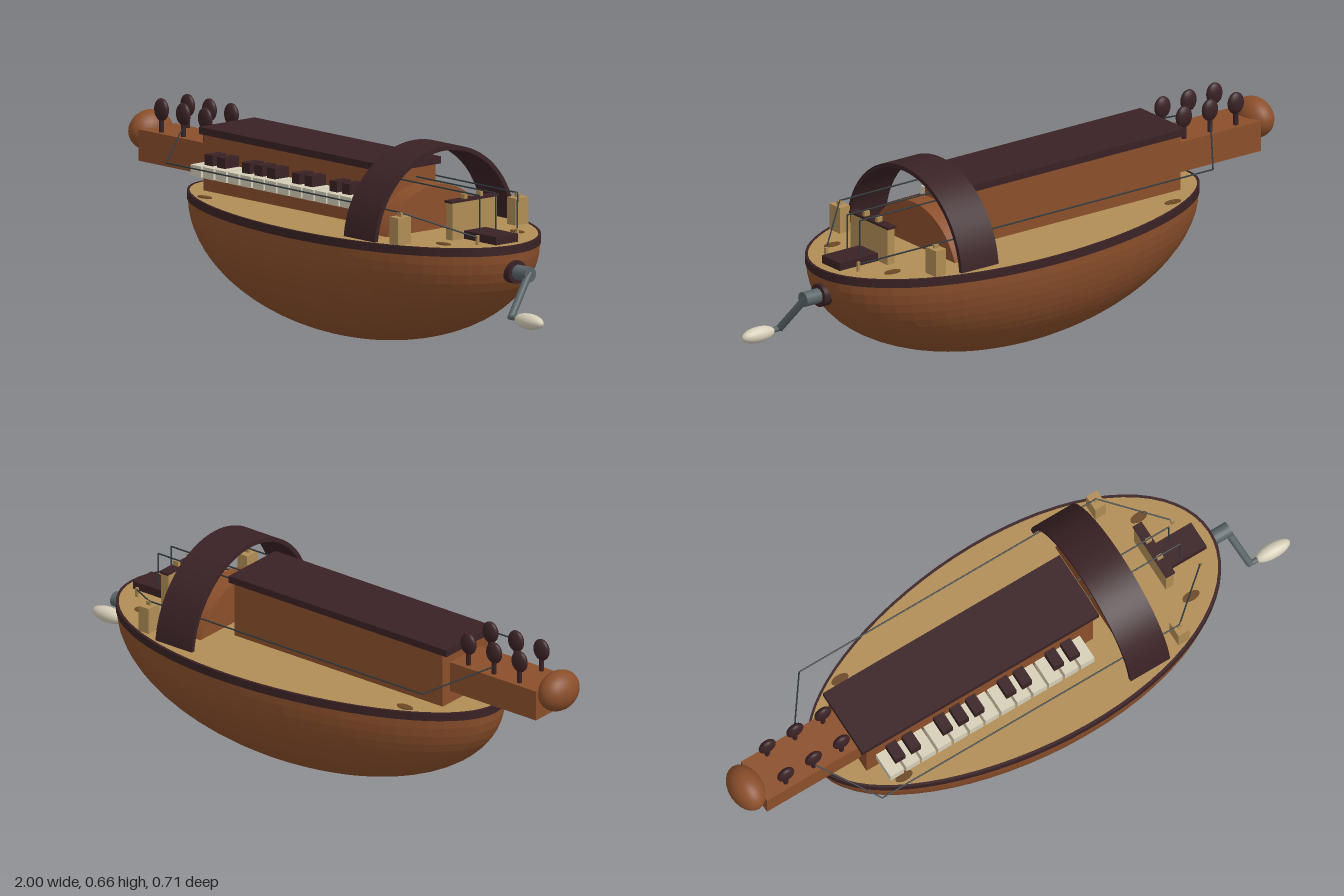
import * as THREE from 'three';

const mat = (name, color, extra = {}) => {
  const m = new THREE.MeshStandardMaterial({ color, ...extra });
  m.name = name;
  return m;
};

export function createModel() {
  const root = new THREE.Group();
  root.name = 'crankedStringInstrument';
  const wood = mat('brown wood', 0x8b4f2b);
  const bowlWood = mat('bowl wood', 0x8b4f2b, { flatShading: true });
  const dark = mat('dark wood', 0x3a2225);
  const tan = mat('spruce', 0xb08d55);
  const hole = mat('sound hole', 0x6b4826);
  const ivory = mat('ivory', 0xd6cfb9);
  const steel = mat('steel', 0x596468);
  const gut = mat('string', 0x303a40);

  const add = (name, geo, material, x = 0, y = 0, z = 0) => {
    const m = new THREE.Mesh(geo, material);
    m.name = name;
    m.position.set(x, y, z);
    root.add(m);
    return m;
  };
  // Box given by its limits on each axis
  const box = (name, material, x0, x1, y0, y1, z0, z1) =>
    add(name, new THREE.BoxGeometry(x1 - x0, y1 - y0, z1 - z0), material,
      (x0 + x1) / 2, (y0 + y1) / 2, (z0 + z1) / 2);
  const ball = (name, material, x, y, z, rx, ry, rz) =>
    add(name, new THREE.SphereGeometry(1, 24, 16).scale(rx, ry, rz), material, x, y, z);
  // Round rod between two points
  const rod = (name, material, a, b, r, sides = 12) => {
    const p = new THREE.Vector3(...a), q = new THREE.Vector3(...b);
    const m = add(name, new THREE.CylinderGeometry(r, r, p.distanceTo(q), sides), material);
    m.position.copy(p).lerp(q, 0.5);
    m.quaternion.setFromUnitVectors(new THREE.Vector3(0, 1, 0), q.sub(p).normalize());
    return m;
  };

  // Egg-shaped outline, fuller toward the crank
  const CX = 0.0375, A = 0.7275, B = 0.35, EGG = 0.11;
  const outline = (inset) => Array.from({ length: 72 }, (_, i) => {
    const t = (i / 72) * Math.PI * 2, c = Math.cos(t);
    return new THREE.Vector2(CX + (A - inset) * c, (B - inset) * Math.sin(t) * (1 + EGG * c));
  });
  const slab = (shape, depth) =>
    new THREE.ExtrudeGeometry(shape, { depth, bevelEnabled: false, curveSegments: 48 });

  // Bowl-shaped back
  const bowl = new THREE.SphereGeometry(1, 64, 18, 0, Math.PI * 2, Math.PI / 2, Math.PI / 2);
  const p = bowl.attributes.position;
  for (let i = 0; i < p.count; i++) {
    const x = p.getX(i);
    p.setXYZ(i, CX + A * x, 0.366 * (1 + p.getY(i)), B * p.getZ(i) * (1 + EGG * x));
  }
  bowl.computeVertexNormals();
  add('bowl', bowl, bowlWood);

  // Rim band and soundboard
  const band = new THREE.Shape(outline(-0.003));
  band.holes.push(new THREE.Path(outline(0.006)));
  add('rim', slab(band, 0.027).rotateX(Math.PI / 2), dark, 0, 0.39, 0);
  add('soundboard', slab(new THREE.Shape(outline(0.006)), 0.02).rotateX(Math.PI / 2), tan, 0, 0.389, 0);
  for (const x of [-0.48, 0.6]) for (const s of [-1, 1]) {
    const g = new THREE.CylinderGeometry(1, 1, 0.004, 24).scale(0.03, 1, 0.015);
    add('soundHole', g, hole, x, 0.39, s * (x < 0 ? 0.19 : 0.155));
  }

  // Key box and lid
  box('keyBox', wood, -0.57, 0.265, 0.385, 0.568, -0.113, 0.113);
  box('keyBoxLid', dark, -0.588, 0.285, 0.567, 0.59, -0.117, 0.117);

  // Natural and raised keys
  const step = 0.0585;
  for (let i = 0; i < 13; i++) {
    const x = -0.511 + step * i;
    box('naturalKey', ivory, x - 0.025, x + 0.025, 0.452, 0.488, 0.1, 0.2);
  }
  for (const k of [0, 1, 3, 4, 5, 7, 8, 10, 11]) {
    const x = -0.482 + step * k;
    box('raisedKey', dark, x - 0.018, x + 0.018, 0.488, 0.522, 0.1, 0.172);
  }

  // Pegbox, rounded head and tuning pegs
  box('pegbox', wood, -0.915, -0.565, 0.43, 0.53, -0.077, 0.077);
  ball('head', wood, -0.945, 0.515, 0, 0.055, 0.065, 0.08);
  for (const x of [-0.832, -0.73, -0.627]) for (const s of [-1, 1]) {
    rod('pegShaft', dark, [x, 0.52, s * 0.055], [x, 0.58, s * 0.055], 0.008);
    ball('pegHead', dark, x, 0.602, s * 0.055, 0.03, 0.036, 0.016);
  }

  // Wheel and its arched cover
  rod('wheel', wood, [0.325, 0.305, 0], [0.395, 0.305, 0], 0.225, 64);
  const arch = new THREE.Shape();
  arch.absarc(0, 0, 0.298, 0.08, Math.PI - 0.08, false);
  arch.absarc(0, 0, 0.284, Math.PI - 0.08, 0.08, true);
  add('wheelCover', slab(arch, 0.145).rotateY(Math.PI / 2), dark, 0.29, 0.36, 0);

  // Main bridge, tailpiece and side bridges
  box('bridge', tan, 0.545, 0.574, 0.385, 0.508, -0.094, 0.094);
  box('bridgeCap', dark, 0.543, 0.576, 0.507, 0.514, -0.1, 0.1);
  box('tailpiece', dark, 0.574, 0.725, 0.385, 0.415, -0.046, 0.046);
  for (const s of [-1, 1]) {
    const side = (name, x0, x1, y0, y1, z, h) =>
      box(name, tan, x0, x1, y0, y1, s * z - h, s * z + h);
    side('droneBridge', 0.48, 0.52, 0.385, 0.475, 0.247, 0.027);
    side('droneSaddle', 0.492, 0.508, 0.47, 0.488, 0.247, 0.005);
    side('dronePin', 0.674, 0.684, 0.385, 0.42, 0.083, 0.004);
    side('stringSaddle', 0.55, 0.57, 0.51, 0.53, 0.033, 0.006);

    // Drone and melody strings
    const path = (name, pts) => pts.slice(1).forEach((q, i) => rod(name, gut, pts[i], q, 0.0025, 6));
    path('droneString', [[-0.73, 0.555, s * 0.06], [-0.595, 0.49, s * 0.247],
      [0.5, 0.488, s * 0.247], [0.68, 0.412, s * 0.083]]);
    path('melodyString', [[0.26, 0.533, s * 0.033], [0.635, 0.533, s * 0.033], [0.635, 0.41, s * 0.033]]);
  }

  // Crank
  rod('crankCollar', dark, [0.745, 0.305, 0], [0.775, 0.305, 0], 0.037, 24);
  rod('crankAxle', steel, [0.77, 0.305, 0], [0.835, 0.305, 0], 0.024, 20);
  rod('crankArm', steel, [0.825, 0.31, -0.004], [0.853, 0.185, 0.097], 0.012);
  rod('handlePin', steel, [0.845, 0.185, 0.097], [0.9, 0.185, 0.097], 0.009);
  ball('crankHandle', ivory, 0.937, 0.183, 0.097, 0.063, 0.025, 0.025);

  return root;
}
